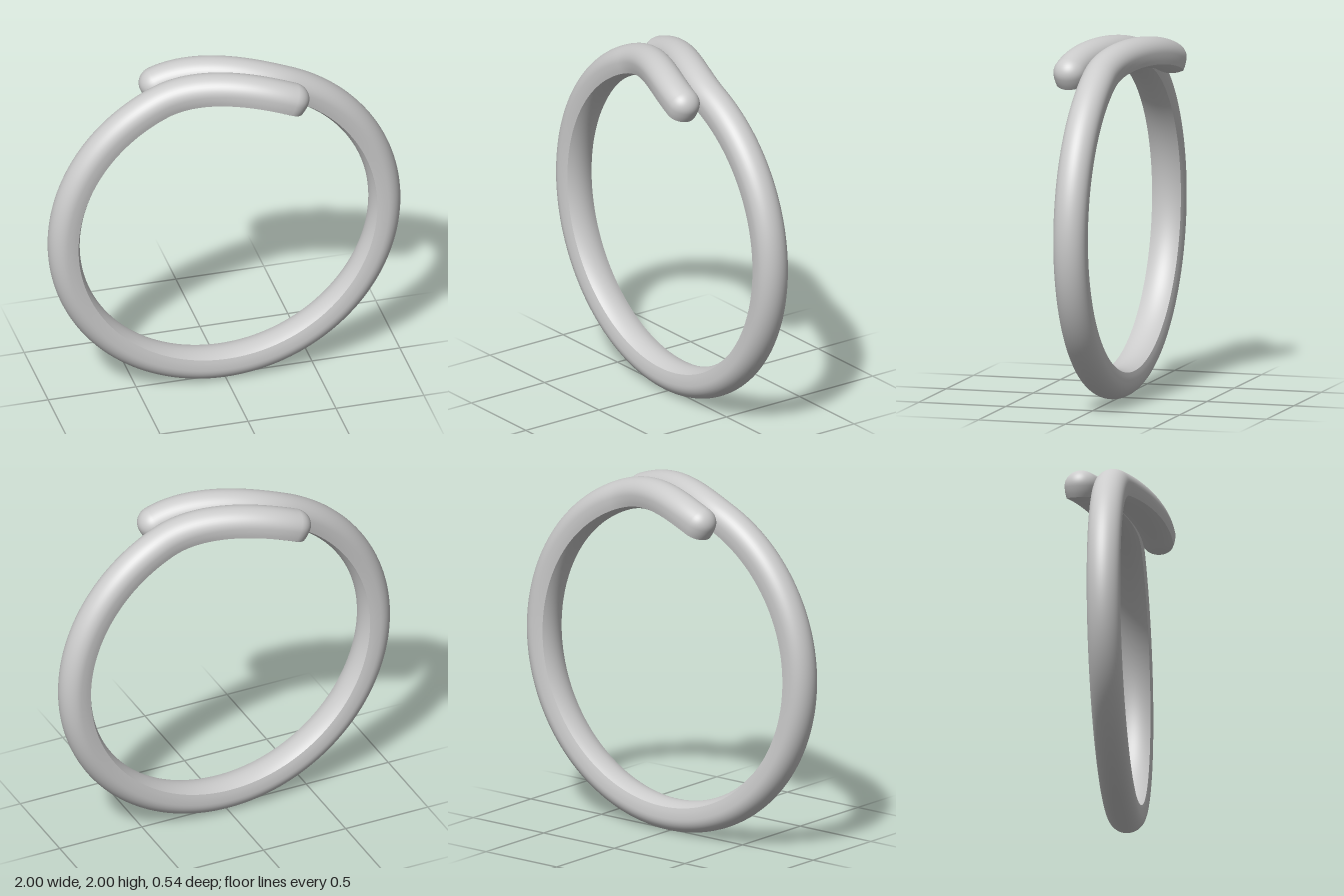
import * as THREE from 'three';
import { mergeGeometries, mergeVertices } from 'three/addons/utils/BufferGeometryUtils.js';

const DEG = Math.PI / 180;
const START = -382 * DEG, END = 22 * DEG; // angles from the top, running once round with an overlap
const OFFSET = 0.18;                      // sideways shift of each tip

// Half of the band's section as [half width, radius], listed outwards.
const outerHalf = [], innerHalf = [];
for (let i = 0; i <= 14; i++) {
  const u = -0.45 + (Math.PI / 2 + 0.45) * i / 14;
  const s = Math.sin(u);
  outerHalf.push([i === 14 ? 0 : 0.092 * Math.cos(u), 0.915 + (s > 0 ? 0.085 : 0.15) * s]);
}
const [creaseW, creaseR] = outerHalf[0];
for (let i = 0; i <= 6; i++) {
  const t = i / 6;
  innerHalf.push([creaseW * t, 0.826 + (creaseR - 0.826) * t * t]);
}

// Sideways position of the band, swerving only near the top.
function shift(a) {
  const d = a / DEG;
  return OFFSET * (THREE.MathUtils.smoothstep(d, -24, 24) + THREE.MathUtils.smoothstep(d, -384, -336) - 1);
}

// Local axes at an angle: outward normal, direction of travel and side.
function frame(a) {
  const n = new THREE.Vector3(Math.sin(a), Math.cos(a), 0);
  const slope = (shift(a + 1e-3) - shift(a - 1e-3)) / 2e-3;
  const t = new THREE.Vector3(0.92 * Math.cos(a), -0.92 * Math.sin(a), slope).normalize();
  return { n, t, s: t.clone().cross(n), z: shift(a) };
}

function place(f, direction, [w, r]) {
  const p = f.n.clone().multiplyScalar(r).addScaledVector(direction, w);
  return p.add(new THREE.Vector3(0, 1, f.z));
}

// Surface through rows of points.
function grid(rows) {
  const cols = rows[0].length, index = [];
  for (let i = 0; i < rows.length - 1; i++) {
    for (let j = 0; j < cols - 1; j++) {
      const a = i * cols + j, b = a + cols;
      index.push(a, a + 1, b, a + 1, b + 1, b);
    }
  }
  const g = new THREE.BufferGeometry().setFromPoints(rows.flat());
  g.setIndex(index);
  return g;
}

// Rounded tip: the half section turned about the normal.
function tip(angle, half, sign) {
  const f = frame(angle), rows = [];
  for (let i = 0; i <= 24; i++) {
    const q = Math.PI * (sign > 0 ? 24 - i : i) / 24;
    const dir = f.s.clone().multiplyScalar(Math.cos(q)).addScaledVector(f.t, sign * Math.sin(q));
    rows.push(half.map(p => place(f, dir, p)));
  }
  return grid(rows);
}

// One face of the band, swept round and closed with both tips.
function bandFace(half, inside) {
  const left = half.map(([w, r]) => [-w, r]);
  const right = half.slice().reverse();
  const section = inside ? [...right, ...left.slice(1)] : [...left, ...right.slice(1)];
  const rows = [];
  for (let i = 0; i <= 240; i++) {
    const f = frame(START + (END - START) * i / 240);
    rows.push(section.map(p => place(f, f.s, p)));
  }
  const g = mergeVertices(mergeGeometries([grid(rows), tip(START, half, -1), tip(END, half, 1)]), 1e-5);
  g.computeVertexNormals();
  return g;
}

export function createModel() {
  const group = new THREE.Group();
  group.name = 'overlappingRing';
  const material = new THREE.MeshStandardMaterial({ color: 0xcccccc });
  const outer = new THREE.Mesh(bandFace(outerHalf, false), material);
  outer.name = 'outerBand';
  const inner = new THREE.Mesh(bandFace(innerHalf, true), material);
  inner.name = 'innerBand';
  group.add(outer, inner);
  return group;
}
